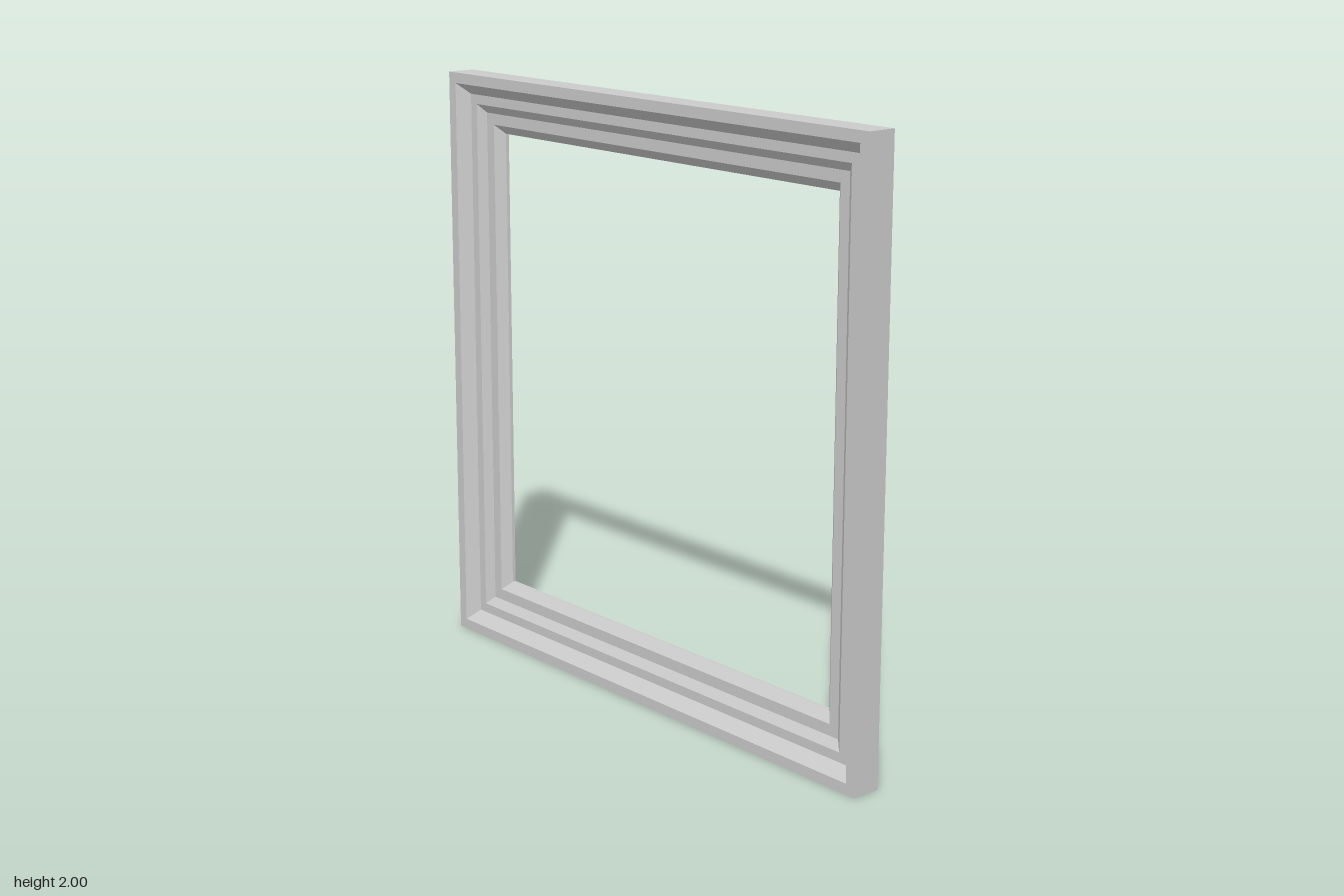
import * as THREE from 'three';

export function createModel() {
  const group = new THREE.Group();
  group.name = 'squareFrame';

  // Moulding cross-section: [inset from the outer edge, depth z]
  const section = [
    [0, -0.05], [0, 0.05],              // outer side
    [0.036, 0.05], [0.072, 0.012],      // rim and first bevel
    [0.104, 0.012], [0.132, -0.01],     // first step and second bevel
    [0.17, -0.01], [0.2, -0.038],       // second step and third bevel
    [0.2, -0.05], [0, -0.05],           // inner lip and flat back
  ];

  // Four-sided sweep around the opening gives mitred corners
  const points = section.map(([inset, z]) => new THREE.Vector2((1 - inset) * Math.SQRT2, z));
  const geometry = new THREE.LatheGeometry(points, 4, Math.PI / 4)
    .rotateX(Math.PI / 2)
    .translate(0, 1, 0)
    .toNonIndexed();
  geometry.computeVertexNormals();

  const frame = new THREE.Mesh(
    geometry,
    new THREE.MeshStandardMaterial({ color: 0xcccccc, flatShading: true })
  );
  frame.name = 'mouldedFrame';
  group.add(frame);
  return group;
}
